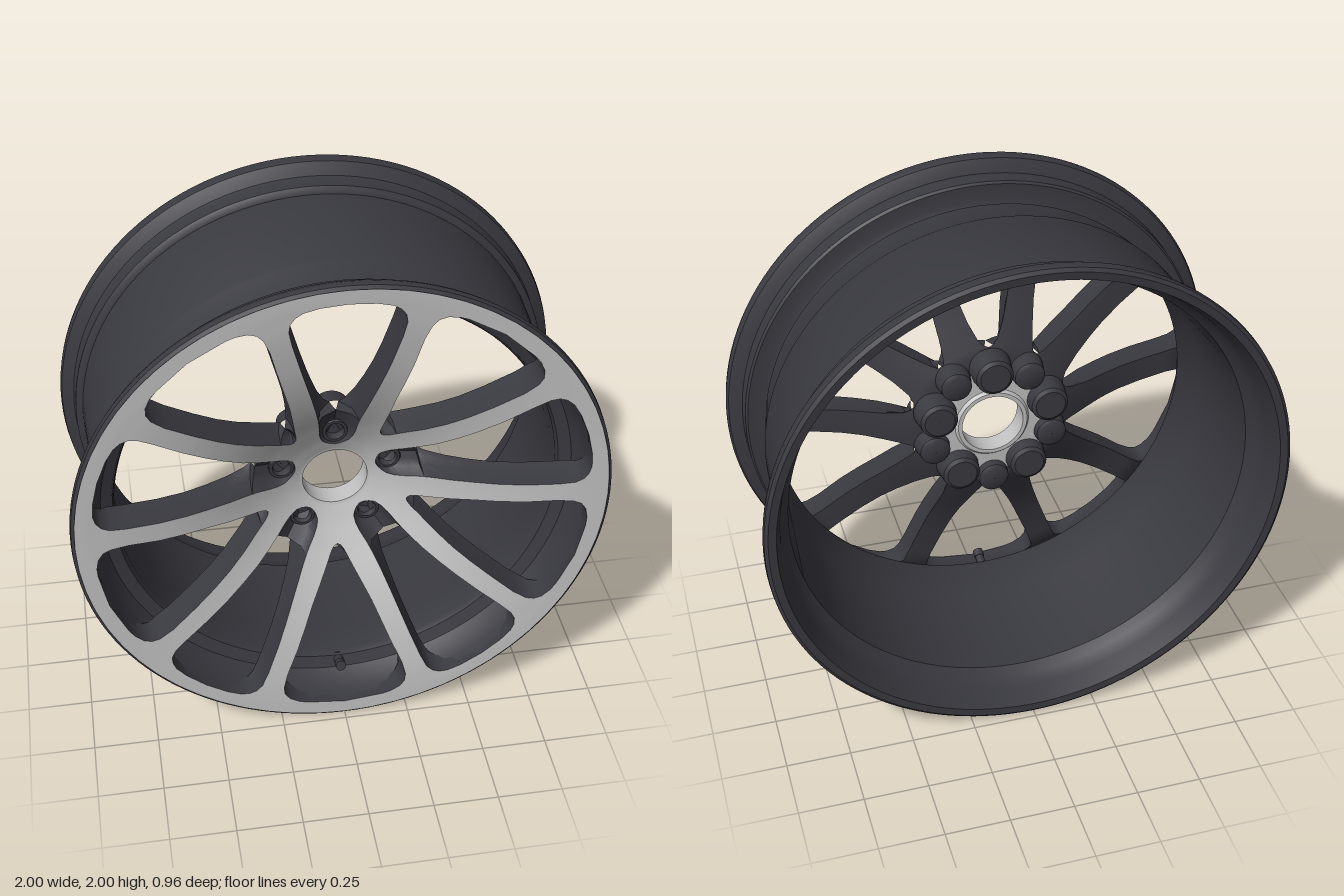
import * as THREE from 'three';
import { mergeGeometries, toCreasedNormals } from 'three/addons/utils/BufferGeometryUtils.js';

const D = Math.PI / 180;

// Rows of one half spoke: radius, then angles in degrees from the pair's axis:
// face edges (inner, outer) and back edges (inner, outer)
const ROWS = [
  [0.125, 0, 36, 0, 36], [0.145, 0, 36, 0, 36], [0.162, 0, 36, 0, 36],
  [0.167, 6, 36, 0, 36], [0.178, 11, 36, 0, 36], [0.195, 15, 36, 0, 36],
  [0.22, 16, 36, 0, 36], [0.25, 15.5, 36, 0, 36], [0.278, 14.5, 36, 0, 36],
  [0.284, 14.2, 33.5, 0, 36], [0.3, 13.8, 31.5, 0, 36], [0.32, 13.4, 30, 0, 36],
  [0.326, 13.3, 29.7, 3, 33.5], [0.35, 13, 28.3, 6.5, 31], [0.42, 12.8, 25, 9.8, 26.8],
  [0.5, 13, 22.6, 11.2, 24], [0.58, 13.3, 21.4, 12, 22.5], [0.68, 13.6, 20.4, 12.6, 21.3],
  [0.8, 13.8, 19.4, 13, 20.2], [0.86, 13.6, 19.6, 13, 20.2], [0.89, 12.8, 20.4, 12.4, 20.8],
  [0.91, 11.4, 22, 11.2, 22.2], [0.922, 9.5, 24.5, 9.3, 24.7], [0.928, 6, 28, 5.8, 28.2],
  [0.93, 0, 36, 0, 36], [0.96, 0, 36, 0, 36], [0.985, 0, 36, 0, 36],
];
// Depth of the face and of the back by radius
const FACE = [[0.125, 0.205], [0.2, 0.235], [0.3, 0.285], [0.42, 0.35], [0.55, 0.405], [0.7, 0.447], [0.85, 0.47], [0.93, 0.476], [0.985, 0.478]];
const BACK = [[0.125, 0.14], [0.3, 0.165], [0.42, 0.22], [0.55, 0.28], [0.7, 0.32], [0.86, 0.345], [0.93, 0.4], [0.985, 0.46]];

function sample(table, r) {
  for (let i = 1; i < table.length; i++) {
    const [r0, z0] = table[i - 1], [r1, z1] = table[i];
    if (r <= r1) return z0 + (z1 - z0) * (r - r0) / (r1 - r0);
  }
  return table[table.length - 1][1];
}

// Closed section of a half spoke at one row, as [angle, z] corners
function section([r, a1, a2, b1, b2]) {
  const zf = sample(FACE, r), zb = sample(BACK, r);
  const end = (open) => (open || r > 0.9 ? zb : zf - 0.07);
  const z1 = end(b1 > 0), z2 = end(b2 < 36);
  const mix = THREE.MathUtils.lerp;
  return [
    [b1, z1], [mix(a1, b1, 0.25), mix(zf, z1, 0.6)], [a1, zf],
    [a2, zf], [mix(a2, b2, 0.4), mix(zf, z2, 0.6)], [b2, z2], [b2, zb], [b1, zb],
  ];
}

// Skin between chosen section corners, repeated and mirrored round the wheel
function spokeSkin(pairs, crease) {
  const pos = [];
  const sections = ROWS.map(section);
  for (let k = 0; k < 5; k++) for (const s of [1, -1]) {
    const at = (row, i, j, t) => {
      const p = sections[row][i], q = sections[row][j], r = ROWS[row][0];
      const a = (90 + 72 * k + s * THREE.MathUtils.lerp(p[0], q[0], t)) * D;
      return [r * Math.cos(a), r * Math.sin(a), THREE.MathUtils.lerp(p[1], q[1], t)];
    };
    for (const [i, j, n] of pairs) for (let m = 0; m < n; m++)
      for (let row = 0; row < ROWS.length - 1; row++) {
        const a = at(row, i, j, m / n), b = at(row + 1, i, j, m / n);
        const c = at(row + 1, i, j, (m + 1) / n), d = at(row, i, j, (m + 1) / n);
        pos.push(...(s > 0 ? [a, b, c, a, c, d] : [a, c, b, a, d, c]).flat());
      }
  }
  const g = new THREE.BufferGeometry();
  g.setAttribute('position', new THREE.Float32BufferAttribute(pos, 3));
  return toCreasedNormals(g, crease);
}

// Turned part about the z axis from [radius, z] points
function turned(points, segments = 128) {
  const g = new THREE.LatheGeometry(points.map(([r, z]) => new THREE.Vector2(r, z)), segments);
  return toCreasedNormals(g.rotateX(Math.PI / 2), 0.6);
}

export function createModel() {
  const model = new THREE.Group();
  const wheel = new THREE.Group();
  wheel.name = 'wheel';
  wheel.position.y = 1;
  model.add(wheel);

  const dark = new THREE.MeshStandardMaterial({ color: 0x393940 });
  dark.name = 'dark paint';
  const silver = new THREE.MeshStandardMaterial({ color: 0xc2c2c2 });
  silver.name = 'machined silver';
  const add = (name, geometry, material) => {
    const mesh = new THREE.Mesh(geometry, material);
    mesh.name = name;
    wheel.add(mesh);
    return mesh;
  };

  // Barrel: outer side from back to front, then the inside from front to back
  add('barrel', turned([
    [0.955, -0.478], [0.985, -0.48], [0.998, -0.47], [1, -0.45], [0.995, -0.425], [0.975, -0.41],
    [0.95, -0.395], [0.945, -0.38], [0.945, -0.325], [0.935, -0.315], [0.918, -0.31],
    [0.898, 0.125], [0.893, 0.135], [0.87, 0.285], [0.845, 0.298], [0.845, 0.31], [0.87, 0.322],
    [0.932, 0.325], [0.94, 0.335], [0.942, 0.4], [0.97, 0.412], [0.992, 0.425], [1, 0.445],
    [0.997, 0.468], [0.985, 0.477], [0.93, 0.468], [0.925, 0.42], [0.905, 0.36], [0.885, 0.325],
    [0.84, 0.305], [0.832, 0.28], [0.855, 0.12], [0.885, -0.31], [0.915, -0.34], [0.93, -0.4], [0.955, -0.478],
  ]), dark);

  // Machined face of hub, spokes and rim; dark flanks and backs
  add('spokeFaces', spokeSkin([[2, 3, 6]], 0.6), silver);
  add('spokeSides', spokeSkin([[0, 1, 2], [1, 2, 1], [3, 4, 1], [4, 5, 2], [6, 7, 6]], 0.7), dark);

  // Bore and mounting face
  add('hubBore', turned([[0.135, 0.21], [0.124, 0.207], [0.124, 0.12], [0.14, 0.12], [0.15, 0.132], [0.24, 0.135]], 64), silver);

  // Bolt seats in front, bolt bosses and spoke roots behind
  const seats = [], bosses = [], roots = [];
  for (let k = 0; k < 5; k++) {
    const a = (90 + 72 * k) * D, b = a + 36 * D;
    const seat = turned([[0.052, 0.14], [0.05, 0.205], [0.046, 0.21], [0.036, 0.21], [0.032, 0.202], [0.03, 0.18], [0.001, 0.18]], 32);
    seats.push(seat.translate(0.212 * Math.cos(a), 0.212 * Math.sin(a), 0));
    const boss = turned([[0.001, 0.075], [0.06, 0.075], [0.074, 0.085], [0.085, 0.165]], 28);
    bosses.push(boss.translate(0.235 * Math.cos(a), 0.235 * Math.sin(a), 0));
    const root = turned([[0.001, 0.095], [0.045, 0.095], [0.06, 0.105], [0.072, 0.18]], 28);
    roots.push(root.translate(0.25 * Math.cos(b), 0.25 * Math.sin(b), 0));
  }
  add('boltSeats', mergeGeometries(seats), dark);
  add('boltBosses', mergeGeometries(bosses), dark);
  add('spokeRoots', mergeGeometries(roots), dark);

  // Valve stem leaning in from the bottom of the barrel
  const valve = add('valve', mergeGeometries([
    new THREE.CylinderGeometry(0.028, 0.032, 0.03, 20),
    new THREE.CylinderGeometry(0.017, 0.02, 0.06, 20).translate(0, 0.04, 0),
    new THREE.CylinderGeometry(0.021, 0.021, 0.03, 20).translate(0, 0.075, 0),
  ]), dark);
  valve.position.set(0, -0.865, 0.29);
  valve.rotation.x = 70 * D;

  return model;
}
